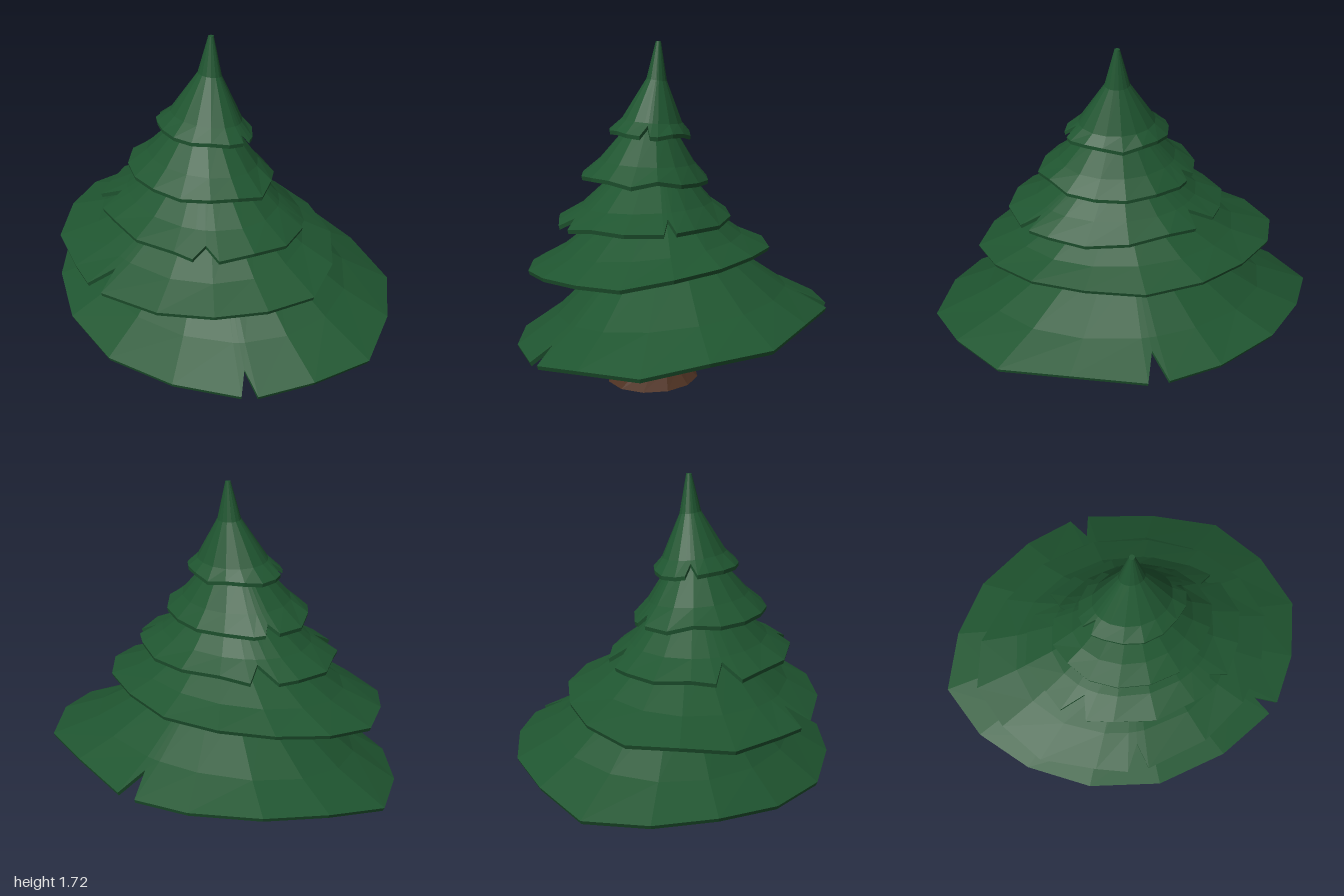
import * as THREE from 'three';

const green = new THREE.MeshStandardMaterial({ color: 0x1f5530, flatShading: true });
const brown = new THREE.MeshStandardMaterial({ color: 0x4d3122, flatShading: true });
const { lerp, degToRad } = THREE.MathUtils;

// Repeatable noise in -1..1
const noise = (a, b) => {
  const s = Math.sin(a * 12.9898 + b * 78.233) * 43758.5453;
  return (s - Math.floor(s)) * 2 - 1;
};

// Ring description: [left x, left y, right x, right y, front z, back z]
function ringPoint([xl, yl, xr, yr, zf, zb], angle) {
  const t = (Math.cos(angle) + 1) / 2;
  return new THREE.Vector3(lerp(xl, xr, t), lerp(yl, yr, t), (zf + zb) / 2 + Math.sin(angle) * (zf - zb) / 2);
}

// Skin a list of point loops; wrap joins the last loop back to the first
function loft(loops, wrap, material, name) {
  const n = loops[0].length, index = [];
  const count = wrap ? loops.length : loops.length - 1;
  for (let k = 0; k < count; k++) {
    const k2 = (k + 1) % loops.length;
    for (let i = 0; i < n; i++) {
      const j = (i + 1) % n;
      const a = k * n + i, b = k * n + j, c = k2 * n + i, d = k2 * n + j;
      index.push(a, c, b, b, c, d);
    }
  }
  const geometry = new THREE.BufferGeometry().setFromPoints(loops.flat());
  geometry.setIndex(index);
  geometry.computeVertexNormals();
  const mesh = new THREE.Mesh(geometry, material);
  mesh.name = name;
  return mesh;
}

// Loop of points shrunk towards its centre and lowered
function shrink(loop, scale, drop) {
  const centre = new THREE.Vector3();
  loop.forEach((p) => centre.addScaledVector(p, 1 / loop.length));
  return loop.map((p) => new THREE.Vector3(
    lerp(centre.x, p.x, scale), p.y - drop, lerp(centre.z, p.z, scale)));
}

// Rim angles of one tier: 16 uneven corners plus V-shaped notches [angle, half width, depth]
function rimPoints(notches, seed) {
  const points = [];
  for (let i = 0; i < 16; i++) {
    const deg = i * 22.5;
    const blocked = notches.some(([a, w]) => Math.abs((deg - a + 540) % 360 - 180) < w + 4);
    if (!blocked) points.push({ deg, cut: i % 4 ? 0.1 + 0.1 * noise(i, seed) : 0, dy: 0.009 * noise(i, seed + 9) });
  }
  for (const [a, w, depth] of notches) {
    for (const side of [-1, 0, 1]) points.push({ deg: a + side * w, cut: side ? 0 : depth, dy: 0 });
  }
  return points.sort((p, q) => p.deg - q.deg);
}

// One thin skirt of branches, swept in from its rim to a small collar [x, y, z, radius]
function branchTier({ rim, collar: [cx, cy, cz, r], notches }, seed, isCrown) {
  const top = [cx - r, cy, cx + r, cy, cz + r, cz - r];
  // Fractions from rim to collar, [inward, upward]: shallow at the rim, steeper above
  const profile = isCrown ? [[0, 0], [0.28, 0.13], [0.8, 0.58], [1, 1]] : [[0, 0], [0.31, 0.24], [0.71, 0.68], [1, 1]];
  const rings = profile.map(([inward, upward]) =>
    rim.map((v, i) => lerp(v, top[i], i === 1 || i === 3 ? upward : inward)));
  const points = rimPoints(notches, seed);
  const outer = rings.map((ring, k) => points.map(({ deg, cut, dy }) => {
    const p = ringPoint(ring, degToRad(deg));
    if (k === 0) {
      p.lerp(ringPoint(rings[1], degToRad(deg)), cut);
      p.y += dy;
    }
    return p;
  }));
  const inner = outer.map((loop, k) => shrink(loop, k === 0 ? 0.99 : 0.96, 0.02)).reverse();
  const cap = isCrown ? [shrink(outer.at(-1), 0, 0)] : [];
  return loft([...outer, ...cap, ...inner], true, green, 'branchTier' + (seed + 1));
}

export function createModel() {
  const tree = new THREE.Group();
  tree.name = 'pineTree';

  // Curved trunk with a flared foot, closed at both ends
  const trunkRings = [
    [-0.34, 0, 0.13, 0, 0.32, -0.27],
    [-0.21, 0.09, 0.055, 0.065, 0.2, -0.14],
    [-0.1, 0.26, 0.1, 0.24, 0.17, -0.125],
    [-0.07, 0.42, 0.1, 0.4, 0.125, -0.095],
    [-0.08, 0.72, 0.05, 0.72, 0.08, -0.06],
    [-0.125, 1.3, -0.085, 1.3, 0.03, 0],
  ];
  const trunk = trunkRings.map((ring) =>
    Array.from({ length: 12 }, (_, i) => ringPoint(ring, i * Math.PI / 6)));
  tree.add(loft([shrink(trunk[0], 0, 0), ...trunk, shrink(trunk.at(-1), 0, 0)], false, brown, 'trunk'));

  // Skirts from the lowest to the crown
  const tiers = [
    { rim: [-0.79, 0.23, 0.785, 0.385, 1, -1], collar: [-0.02, 0.81, 0, 0.12],
      notches: [[357, 3, 0.7], [134, 2.5, 0.5]] },
    { rim: [-0.76, 0.575, 0.49, 0.68, 0.75, -0.82], collar: [-0.08, 0.98, 0.01, 0.11],
      notches: [[186, 4, 0.7]] },
    { rim: [-0.59, 0.83, 0.295, 0.845, 0.58, -0.545], collar: [-0.1, 1.16, 0.015, 0.09],
      notches: [[62, 4, 0.7], [140, 7, 0.5], [225, 8, 0.8], [313, 8, 0.8]] },
    { rim: [-0.465, 1.065, 0.18, 1.03, 0.42, -0.39], collar: [-0.105, 1.37, 0.015, 0.065],
      notches: [[300, 6, 0.5]] },
    { rim: [-0.325, 1.285, 0.09, 1.255, 0.28, -0.245], collar: [-0.072, 1.72, 0.022, 0.013],
      notches: [[85, 7, 0.8], [248, 8, 0.8]] },
  ];
  tiers.forEach((tier, i) => tree.add(branchTier(tier, i, i === tiers.length - 1)));
  return tree;
}
